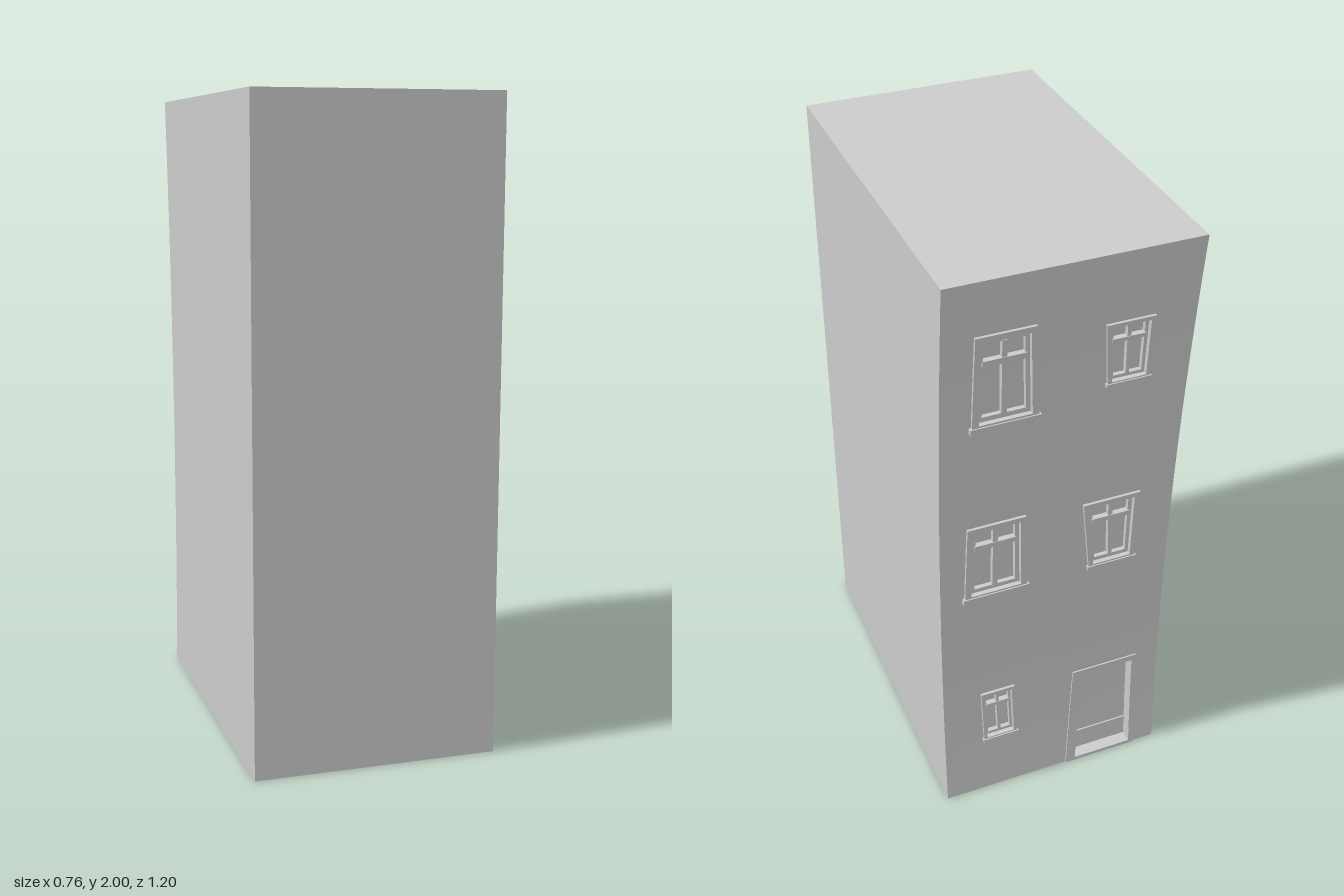
import * as THREE from 'three';

const HALF = 0.38, FRONT = 0.6, TOP = 2, SEAM = 0.02;
const material = new THREE.MeshStandardMaterial({ color: 0xcccccc, side: THREE.DoubleSide });

// The back facade leans outward in a gentle curve.
const wallZ = (y) => -0.525 - 0.0425 * (y - 0.7) ** 2;
const lerp = THREE.MathUtils.lerp;

// Crooked openings: y range, then the x range at the bottom and at the top.
const rightColumn = [
  { name: 'door', y0: 0, y1: 0.41, bottom: [-0.305, -0.05], top: [-0.3, -0.07] },
  { name: 'middleRightWindow', y0: 0.855, y1: 1.12, bottom: [-0.262, -0.107], top: [-0.265, -0.076] },
  { name: 'upperRightWindow', y0: 1.557, y1: 1.772, bottom: [-0.252, -0.12], top: [-0.25, -0.1] },
];
const leftColumn = [
  { name: 'lowerLeftWindow', y0: 0.225, y1: 0.435, bottom: [0.13, 0.246], top: [0.138, 0.254] },
  { name: 'middleLeftWindow', y0: 0.855, y1: 1.14, bottom: [0.1, 0.304], top: [0.11, 0.296] },
  { name: 'upperLeftWindow', y0: 1.505, y1: 1.825, bottom: [0.085, 0.287], top: [0.107, 0.285] },
];

// Heights of all rows of the facade, including every opening's edges.
const levels = [...new Set([
  ...Array.from({ length: 41 }, (_, i) => i * 0.05),
  ...[...leftColumn, ...rightColumn].flatMap((o) => [o.y0, o.y1]),
])].sort((a, b) => a - b);

// x range of the opening column at a height, blended between openings.
function columnEdges(column, y) {
  const keys = column.flatMap((o) => [[o.y0, o.bottom], [o.y1, o.top]]);
  if (y <= keys[0][0]) return keys[0][1];
  for (let i = 1; i < keys.length; i++) {
    const [ya, a] = keys[i - 1], [yb, b] = keys[i];
    if (y <= yb) {
      const t = (y - ya) / (yb - ya);
      return [lerp(a[0], b[0], t), lerp(a[1], b[1], t)];
    }
  }
  return keys[keys.length - 1][1];
}

// Half of the facade: a grid of rows with the cells inside openings left out.
function facadeHalf(column, xMin, xMax) {
  const positions = [], index = [];
  levels.forEach((y, r) => {
    const [a, b] = columnEdges(column, y);
    for (const x of [xMin, a, b, xMax]) positions.push(x, y, wallZ(y));
    if (r === 0) return;
    const mid = (y + levels[r - 1]) / 2;
    for (let c = 0; c < 3; c++) {
      if (c === 1 && column.some((o) => mid > o.y0 && mid < o.y1)) continue;
      const p = (r - 1) * 4 + c, q = r * 4 + c;
      index.push(p, q, p + 1, p + 1, q, q + 1);
    }
  });
  const geometry = new THREE.BufferGeometry();
  geometry.setAttribute('position', new THREE.Float32BufferAttribute(positions, 3));
  geometry.setIndex(index);
  geometry.computeVertexNormals();
  return geometry;
}

// A bar inside an opening: u, v are 0..1 across and up, d is distance out of the wall.
function bar(opening, name, u0, u1, v0, v1, d0, d1) {
  const geometry = new THREE.BoxGeometry(1, 1, 1, 1, 4, 1);
  const pos = geometry.attributes.position;
  for (let i = 0; i < pos.count; i++) {
    const u = lerp(u0, u1, pos.getX(i) + 0.5);
    const v = lerp(v0, v1, pos.getY(i) + 0.5);
    const y = lerp(opening.y0, opening.y1, v);
    const x = lerp(lerp(opening.bottom[0], opening.top[0], v), lerp(opening.bottom[1], opening.top[1], v), u);
    pos.setXYZ(i, x, y, wallZ(y) - lerp(d1, d0, pos.getZ(i) + 0.5));
  }
  geometry.computeVertexNormals();
  const mesh = new THREE.Mesh(geometry, material);
  mesh.name = name;
  return mesh;
}

// Four bars around a rectangle inset by a fraction on each side.
function border(o, name, inU, inV, w, h, d0, d1) {
  return [
    bar(o, name, inU, inU + w, inV, 1 - inV, d0, d1),
    bar(o, name, 1 - inU - w, 1 - inU, inV, 1 - inV, d0, d1),
    bar(o, name, inU + w, 1 - inU - w, inV, inV + h, d0, d1),
    bar(o, name, inU + w, 1 - inU - w, 1 - inV - h, 1 - inV, d0, d1),
  ];
}

function makeWindow(o) {
  const group = new THREE.Group();
  group.name = o.name;
  group.add(
    ...border(o, 'casing', 0, 0, 0.1, 0.06, -0.03, 0.009),
    ...border(o, 'sash', 0.1, 0.06, 0.07, 0.05, -0.03, -0.006),
    bar(o, 'pane', 0.05, 0.95, 0.03, 0.97, -0.03, -0.02),
    bar(o, 'mullion', 0.46, 0.54, 0.1, 0.9, -0.025, -0.004),
    bar(o, 'transom', 0.15, 0.85, 0.66, 0.72, -0.025, -0.002),
    bar(o, 'sill', -0.03, 1.03, -0.02, 0.04, -0.02, 0.013),
  );
  return group;
}

function makeDoor(o) {
  const group = new THREE.Group();
  group.name = o.name;
  group.add(
    bar(o, 'jamb', 0, 0.07, 0, 1, -0.045, 0.005),
    bar(o, 'jamb', 0.87, 1, 0, 1, -0.045, 0.005),
    bar(o, 'lintel', 0.07, 0.87, 0.95, 1, -0.045, 0.005),
    bar(o, 'doorLeaf', 0.05, 0.9, 0, 0.97, -0.045, -0.035),
    bar(o, 'doorRail', 0.07, 0.87, 0.2, 0.23, -0.036, -0.03),
    bar(o, 'threshold', 0.05, 0.95, 0, 0.03, -0.045, 0.005),
  );
  return group;
}

export function createModel() {
  const model = new THREE.Group();
  model.name = 'townhouse';
  const add = (name, geometry) => {
    const mesh = new THREE.Mesh(geometry, material);
    mesh.name = name;
    model.add(mesh);
    return mesh;
  };

  // Curved back facade
  add('facadeRightHalf', facadeHalf(rightColumn, -HALF, SEAM));
  add('facadeLeftHalf', facadeHalf(leftColumn, SEAM, HALF));

  // Side walls follow the facade's curve
  const outline = levels.map((y) => new THREE.Vector2(-wallZ(y), y));
  outline.push(new THREE.Vector2(-FRONT, TOP), new THREE.Vector2(-FRONT, 0));
  for (const side of [-1, 1]) {
    const wall = add(side > 0 ? 'leftWall' : 'rightWall', new THREE.ShapeGeometry(new THREE.Shape(outline)));
    wall.rotation.y = Math.PI / 2;
    wall.position.x = side * HALF;
  }

  // Plain front wall and flat roof; the underside is open
  add('frontWall', new THREE.PlaneGeometry(HALF * 2, TOP)).position.set(0, TOP / 2, FRONT);
  const depth = FRONT - wallZ(TOP);
  const roof = add('roof', new THREE.PlaneGeometry(HALF * 2, depth));
  roof.rotation.x = -Math.PI / 2;
  roof.position.set(0, TOP, FRONT - depth / 2);

  // Windows and door
  for (const o of [...leftColumn, ...rightColumn]) {
    model.add(o.name === 'door' ? makeDoor(o) : makeWindow(o));
  }
  return model;
}
